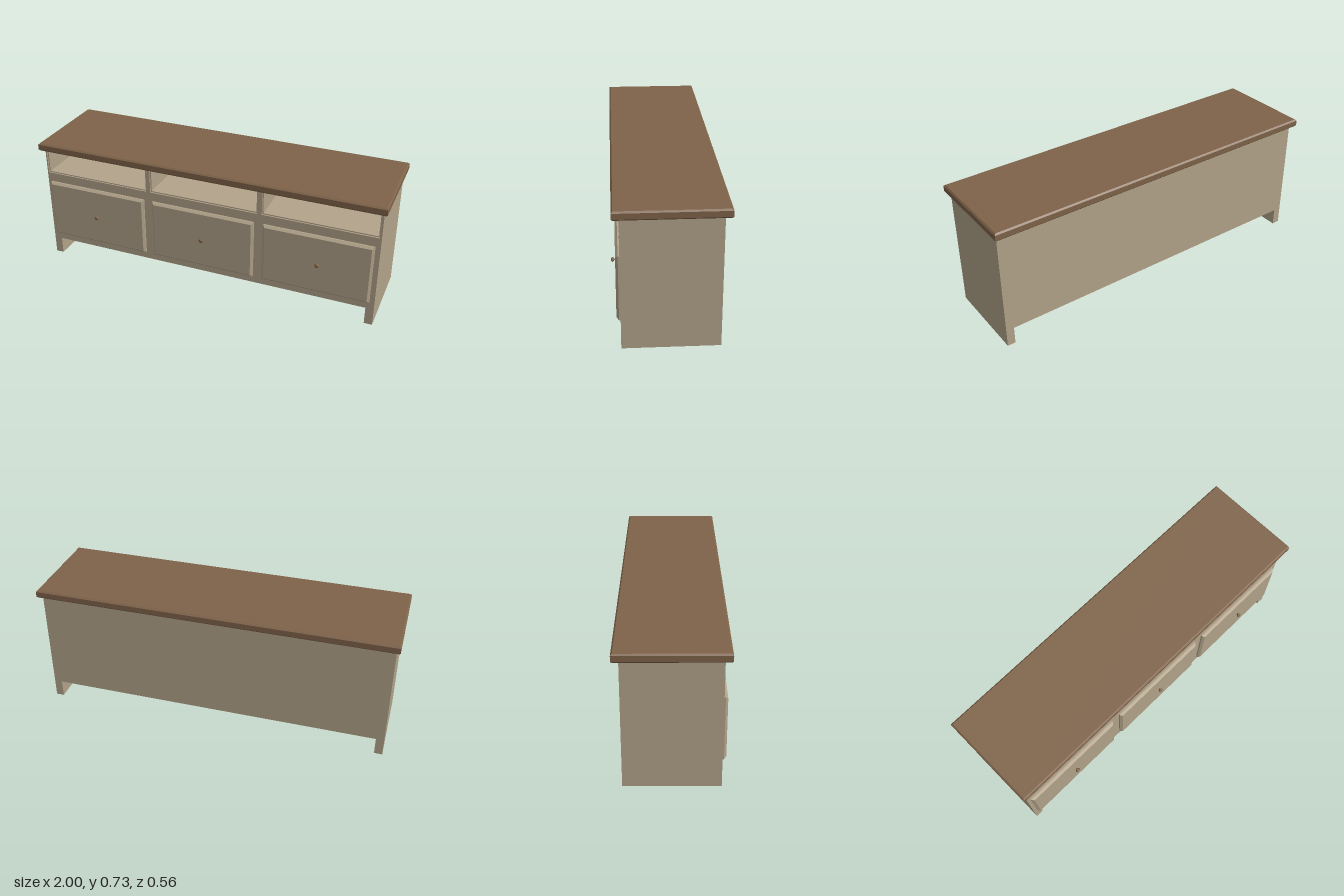
import * as THREE from 'three';

const painted = new THREE.MeshStandardMaterial({ color: 0xb2a38a });
painted.name = 'painted wood';
const stained = new THREE.MeshStandardMaterial({ color: 0x7f6349 });
stained.name = 'stained wood';

function addMesh(parent, name, geometry, material, x = 0, y = 0, z = 0) {
  const mesh = new THREE.Mesh(geometry, material);
  mesh.name = name;
  mesh.position.set(x, y, z);
  parent.add(mesh);
  return mesh;
}

// Solid with flat faces through rectangles [width, height, z], back to front
function loftRects(rects) {
  const pos = [];
  const rings = rects.map(([w, h, z]) =>
    [[-1, -1], [1, -1], [1, 1], [-1, 1]].map(([sx, sy]) => [sx * w / 2, sy * h / 2, z]));
  const quad = (a, b, c, d) => pos.push(...a, ...b, ...c, ...a, ...c, ...d);
  for (let r = 0; r < rings.length - 1; r++) {
    for (let i = 0; i < 4; i++) {
      const j = (i + 1) % 4;
      quad(rings[r][i], rings[r][j], rings[r + 1][j], rings[r + 1][i]);
    }
  }
  const [a, b, c, d] = rings[0];
  quad(d, c, b, a);
  quad(...rings[rings.length - 1]);
  const geometry = new THREE.BufferGeometry();
  geometry.setAttribute('position', new THREE.Float32BufferAttribute(pos, 3));
  geometry.computeVertexNormals();
  return geometry;
}

function rectPoints(x0, x1, y0, y1) {
  return [[x0, y0], [x1, y0], [x1, y1], [x0, y1]].map(p => new THREE.Vector2(...p));
}

const extrude = (shape, depth) => new THREE.ExtrudeGeometry(shape, { depth, bevelEnabled: false });

export function createModel() {
  const model = new THREE.Group();
  model.name = 'mediaConsole';

  const backZ = -0.245, frontZ = 0.24, lip = 0.006;
  const y0 = 0.54, y1 = 0.675;
  const openings = [[-0.972, -0.342], [-0.317, 0.313], [0.339, 0.969]];

  // Cabinet with side feet and three open shelves cut into it
  const outline = [[-0.98, 0], [-0.935, 0], [-0.935, 0.1], [0.935, 0.1],
    [0.935, 0], [0.98, 0], [0.98, 0.69], [-0.98, 0.69]];
  const body = new THREE.Shape(outline.map(p => new THREE.Vector2(...p)));
  for (const [x0, x1] of openings) body.holes.push(new THREE.Path(rectPoints(x0, x1, y0, y1)));
  addMesh(model, 'cabinet', extrude(body, frontZ - backZ), painted, 0, 0, backZ);

  // Shelf linings set just behind the front edge, and shelf backs
  for (const [x0, x1] of openings) {
    const ring = new THREE.Shape(rectPoints(x0, x1, y0, y1));
    ring.holes.push(new THREE.Path(rectPoints(x0 + lip, x1 - lip, y0 + lip, y1 - lip)));
    addMesh(model, 'shelfLining', extrude(ring, 0.457), painted, 0, 0, -0.225);
    addMesh(model, 'shelfBack', new THREE.BoxGeometry(x1 - x0, y1 - y0, 0.02), painted,
      (x0 + x1) / 2, (y0 + y1) / 2, backZ + 0.01);
  }

  // Chamfered top board
  const top = loftRects([[1.984, 0.539, 0], [2, 0.555, 0.008], [2, 0.555, 0.038], [1.984, 0.539, 0.046]]);
  top.rotateX(-Math.PI / 2);
  addMesh(model, 'topBoard', top, stained, 0, 0.688, -0.0025);

  // Raised drawer fronts with turned knobs
  const drawer = loftRects([[0.602, 0.345, 0], [0.602, 0.345, 0.009], [0.578, 0.321, 0.021]]);
  const knobProfile = [[0.005, 0], [0.004, 0.007], [0.009, 0.008], [0.012, 0.012],
    [0.012, 0.016], [0.009, 0.02], [0, 0.022]].map(p => new THREE.Vector2(...p));
  const knob = new THREE.LatheGeometry(knobProfile, 20);
  knob.rotateX(Math.PI / 2);
  for (const x of [-0.658, -0.003, 0.652]) {
    addMesh(model, 'drawerFront', drawer, painted, x, 0.3145, frontZ - 0.001);
  }
  for (const x of [-0.657, 0, 0.663]) {
    addMesh(model, 'drawerKnob', knob, stained, x, 0.317, 0.259);
  }
  return model;
}
